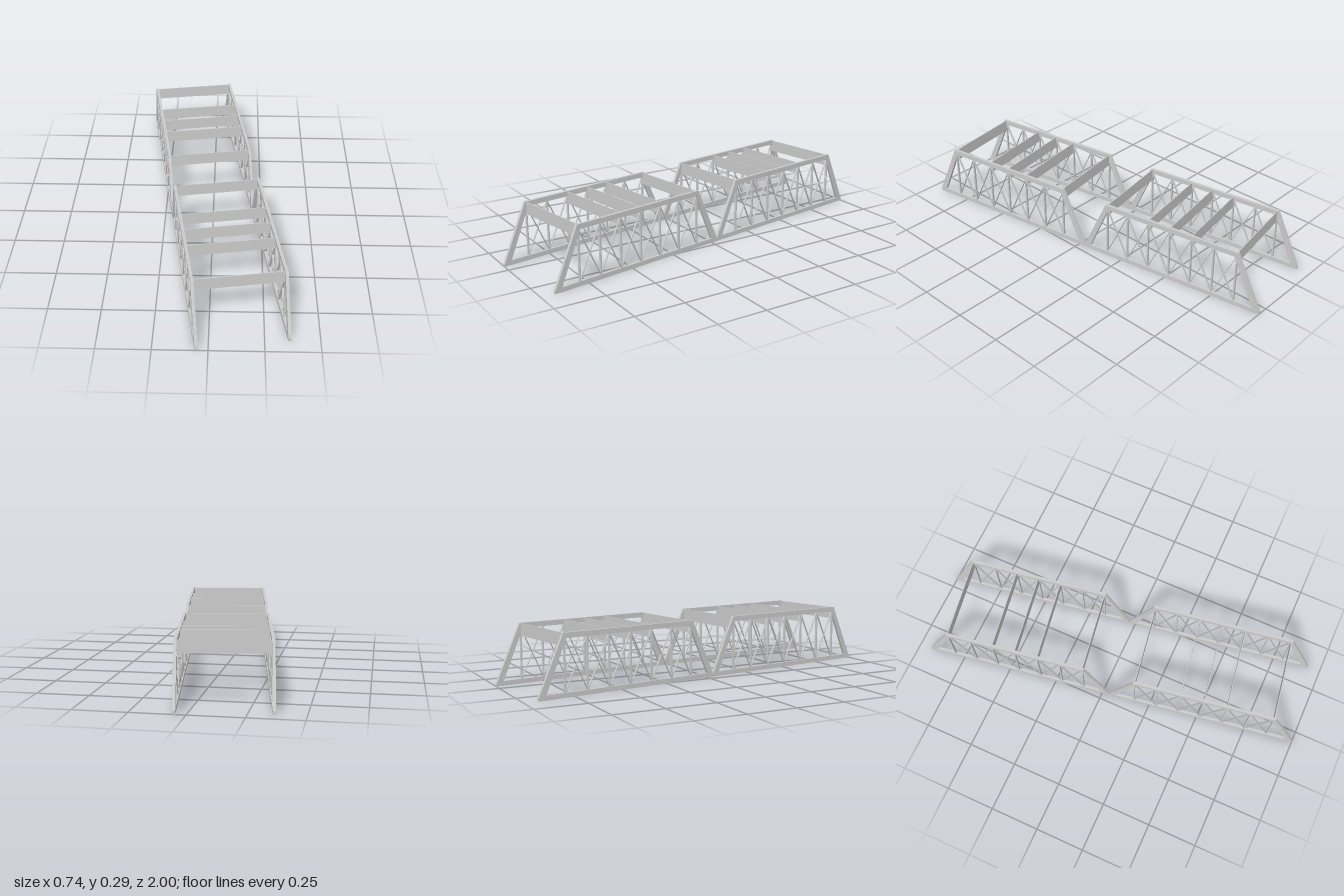
import * as THREE from 'three';

const HALF = 0.978;     // length of one trapezoid span
const TOP = 0.295;      // overall height
const SIDE = 0.21;      // truss offset from the centre line
const CHORD = 0.014;    // chord thickness across the bridge
const FIRST = 0.135, LAST = 0.842, PANELS = 6;
const STEP = (LAST - FIRST) / PANELS;
const Y0 = 0.02, Y1 = 0.273; // ends of the web members, just inside the chords

export function createModel() {
  const steel = new THREE.MeshStandardMaterial({ color: 0xcccccc });
  steel.name = 'steelGrey';

  const bridge = new THREE.Group();
  bridge.name = 'trussBridge';

  const polygon = (C, pts) => new C(pts.map(([z, y]) => new THREE.Vector2(z, y)));

  // Trapezoid frame: bottom chord, top chord and two sloping end posts
  const outline = polygon(THREE.Shape, [
    [0, 0], [HALF, 0], [HALF, 0.015], [0.85, TOP], [HALF - 0.85, TOP], [0, 0.015],
  ]);
  outline.holes.push(polygon(THREE.Path, [
    [0.037, 0.023], [0.143, 0.27], [HALF - 0.143, 0.27], [HALF - 0.037, 0.023],
  ]));
  const frameGeo = new THREE.ExtrudeGeometry(outline, { depth: CHORD, bevelEnabled: false });
  frameGeo.translate(0, 0, -CHORD / 2).rotateY(-Math.PI / 2);

  // Straight bar between two points in the plane of a truss
  function bar(name, za, ya, zb, yb, thickX, thickZ) {
    const len = Math.hypot(zb - za, yb - ya);
    const mesh = new THREE.Mesh(new THREE.BoxGeometry(thickX, len, thickZ), steel);
    mesh.name = name;
    mesh.position.set(0, (ya + yb) / 2, (za + zb) / 2);
    mesh.rotation.x = Math.atan2(zb - za, yb - ya);
    return mesh;
  }

  // One truss span with posts and crossed braces in every panel
  function makeSpan(name) {
    const span = new THREE.Group();
    span.name = name;
    const frame = new THREE.Mesh(frameGeo, steel);
    frame.name = 'trussFrame';
    span.add(frame);
    for (let i = 0; i <= PANELS; i++) {
      const z = FIRST + i * STEP;
      span.add(bar('post', z, Y0, z, Y1, 0.011, 0.007));
      if (i === PANELS) break;
      span.add(bar('risingBrace', z, Y0, z + STEP, Y1, 0.010, 0.003));
      span.add(bar('fallingBrace', z + STEP, Y0, z, Y1, 0.009, 0.003));
    }
    return span;
  }

  // Two spans on each side
  for (const [side, x] of [['left', SIDE], ['right', -SIDE]]) {
    const front = makeSpan(side + 'FrontSpan');
    front.position.x = x;
    const back = makeSpan(side + 'BackSpan');
    back.position.set(x, 0, -HALF);
    bridge.add(front, back);
  }

  // Deep thin cross beams joining the top chords at selected posts
  const beamGeo = new THREE.BoxGeometry(2 * SIDE, 0.061, 0.004);
  for (const start of [0, -HALF]) {
    for (const i of [0, 2, 3, 4, 6]) {
      const beam = new THREE.Mesh(beamGeo, steel);
      beam.name = 'crossBeam';
      beam.position.set(0, 0.2625, start + FIRST + i * STEP);
      bridge.add(beam);
    }
  }

  // The bridge stands at a slight angle
  bridge.rotation.y = 0.159;
  const model = new THREE.Group();
  model.name = 'model';
  model.add(bridge);
  return model;
}
